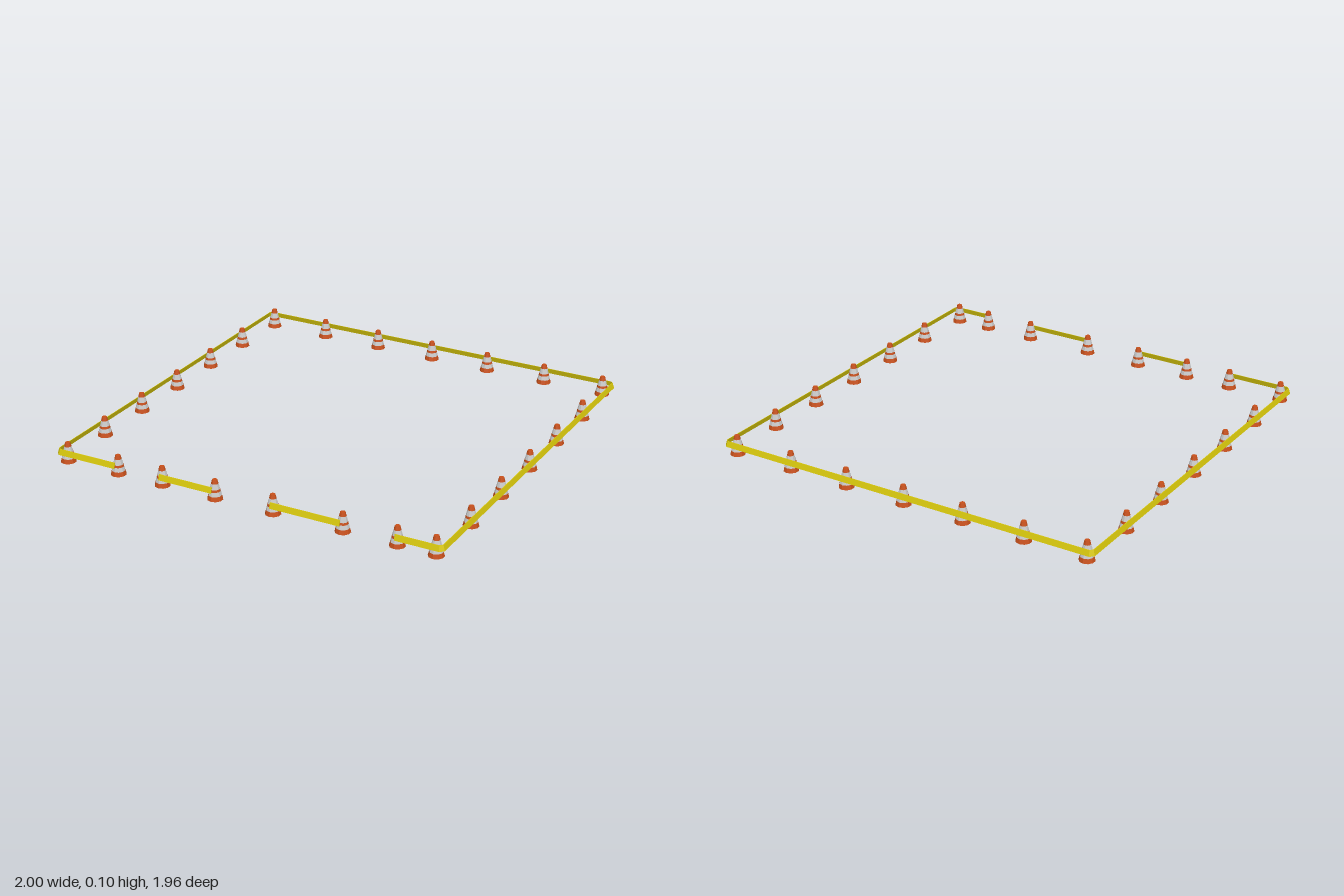
import * as THREE from 'three';

const orange = new THREE.MeshStandardMaterial({ color: 0xc8501a, flatShading: true });
const grey = new THREE.MeshStandardMaterial({ color: 0xcccccc, flatShading: true });
const yellow = new THREE.MeshStandardMaterial({ color: 0xd8c80c, flatShading: true, side: THREE.DoubleSide });

const H = 0.097, R0 = 0.037, R1 = 0.012, SIDES = 10;
const radiusAt = (y) => R0 + (R1 - R0) * (y / H);

// One tapered band of a cone; the end bands are closed
function band(y0, y1) {
  const open = y0 > 0 && y1 < H;
  const g = new THREE.CylinderGeometry(radiusAt(y1), radiusAt(y0), y1 - y0, SIDES, 1, open);
  return g.translate(0, (y0 + y1) / 2, 0);
}

const levels = [0, 0.021, 0.041, 0.052, 0.078, H];
const bands = levels.slice(1).map((y, i) => band(levels[i], y));

function trafficCone(x, z) {
  const cone = new THREE.Group();
  cone.name = 'trafficCone';
  bands.forEach((g, i) => {
    const mesh = new THREE.Mesh(g, i % 2 ? grey : orange);
    mesh.name = i % 2 ? 'reflectiveBand' : 'coneBody';
    cone.add(mesh);
  });
  cone.position.set(x, 0, z);
  return cone;
}

// Thin barrier strip along a floor path of [x, z], its top leaning inward with the cones
function strip(path, name) {
  const T = 0.003, LEAN = 0.008, Y0 = 0.04, Y1 = 0.067;
  const pos = [], idx = [];
  const pts = path.map(([x, z]) => new THREE.Vector2(x, z));
  const normal = (a, b) => new THREE.Vector2(b.y - a.y, a.x - b.x).normalize();
  pts.forEach((p, i) => {
    const a = normal(pts[Math.max(i - 1, 0)], pts[Math.max(i, 1)]);
    const last = pts.length - 1;
    const b = normal(pts[Math.min(i, last - 1)], pts[Math.min(i + 1, last)]);
    const n = a.clone().add(b).normalize();
    n.divideScalar(n.dot(a)); // mitred inward offset
    for (const [off, y] of [[0, Y0], [LEAN, Y1], [LEAN + T, Y1], [T, Y0]]) {
      pos.push(p.x + n.x * off, y, p.y + n.y * off);
    }
    if (i < last) {
      for (let k = 0; k < 4; k++) {
        const q = i * 4 + k, r = i * 4 + (k + 1) % 4;
        idx.push(q, q + 4, r, r, q + 4, r + 4);
      }
    }
  });
  const e = (pts.length - 1) * 4;
  idx.push(0, 1, 2, 0, 2, 3, e, e + 2, e + 1, e, e + 3, e + 2);
  const g = new THREE.BufferGeometry();
  g.setAttribute('position', new THREE.Float32BufferAttribute(pos, 3));
  g.setIndex(idx);
  g.computeVertexNormals();
  const mesh = new THREE.Mesh(g, yellow);
  mesh.name = name;
  return mesh;
}

export function createModel() {
  const model = new THREE.Group();
  model.name = 'coneBarrier';

  // Back row, side rows, and the front row with its gaps
  for (let i = 0; i < 7; i++) model.add(trafficCone(-0.95 + i * 0.315, -0.945));
  for (let i = -2; i <= 2; i++) {
    for (const s of [-1, 1]) model.add(trafficCone(s * 0.963, i * 0.315));
  }
  for (const x of [-0.95, -0.67, -0.43, -0.15, 0.15, 0.5, 0.765, 0.95]) model.add(trafficCone(x, 0.945));

  // Long strip round three sides, with clipped corners and short front returns
  const X = 0.997, Z = 0.98, C = 0.018;
  model.add(strip([
    [0.765, Z], [X - C, Z], [X, Z - C],
    [X, -Z + C], [X - C, -Z],
    [-X + C, -Z], [-X, -Z + C],
    [-X, Z - C], [-X + C, Z], [-0.67, Z],
  ], 'perimeterStrip'));

  // Two separate strips across the front
  model.add(strip([[-0.43, Z], [-0.15, Z]], 'frontStripRight'));
  model.add(strip([[0.15, Z], [0.5, Z]], 'frontStripLeft'));
  return model;
}
